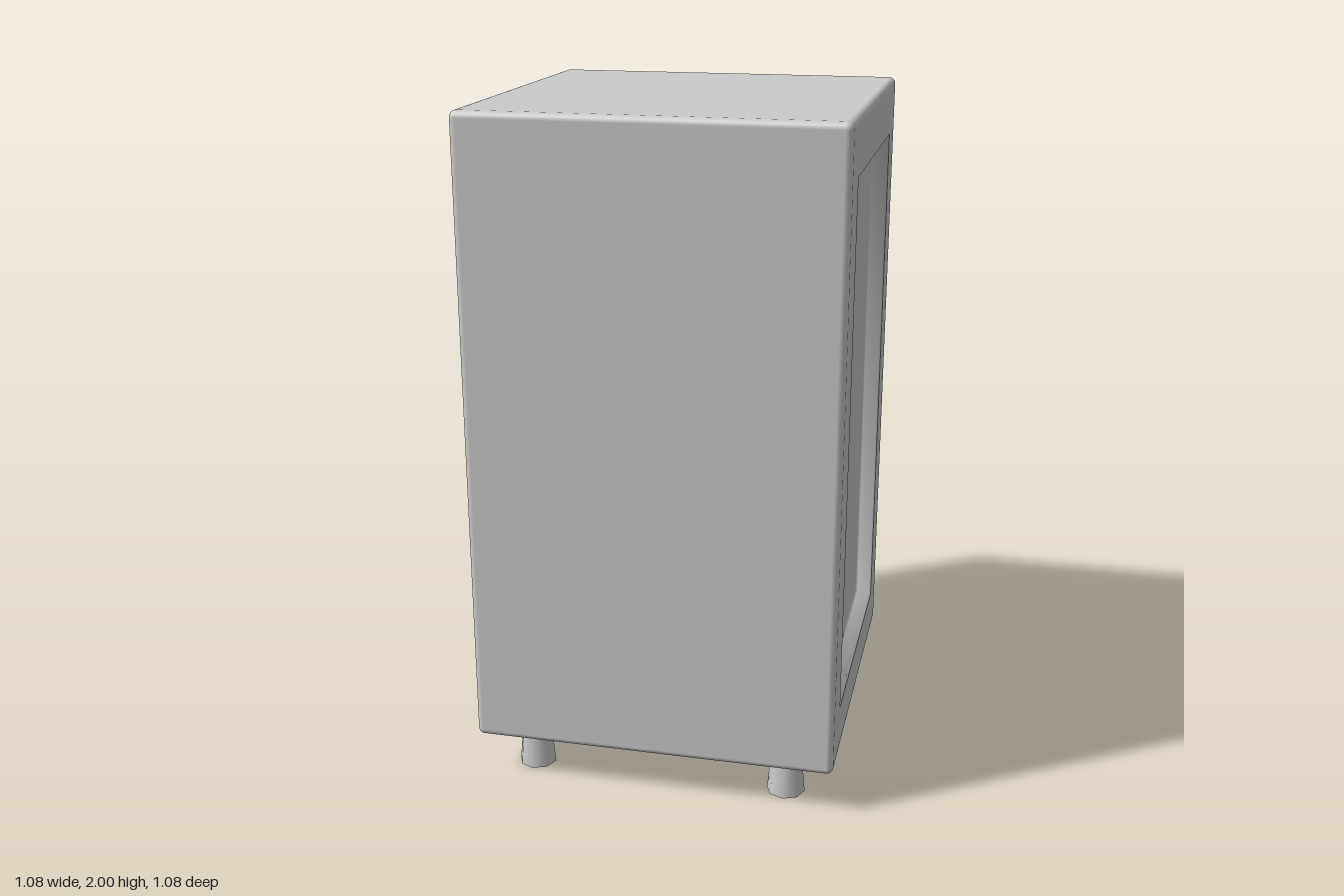
import * as THREE from 'three';
import { RoundedBoxGeometry } from 'three/addons/geometries/RoundedBoxGeometry.js';

const HALF = 0.54, BASE = 0.13, TOP = 2, R = 0.02;
const HEIGHT = TOP - BASE, MID = (TOP + BASE) / 2;
const RECESS_W = 0.4, RECESS_H = 0.78; // half sizes of the side recess
const OPENING = 0.385;                 // half size of the opening underneath

function rectPath(path, w, h, cy = 0) {
  path.moveTo(-w, cy - h);
  path.lineTo(w, cy - h);
  path.lineTo(w, cy + h);
  path.lineTo(-w, cy + h);
  path.closePath();
  return path;
}

// flat rectangle with a rectangular hole
function frameGeometry(w, h, holeW, holeH, holeY = 0) {
  const shape = rectPath(new THREE.Shape(), w, h);
  shape.holes.push(rectPath(new THREE.Path(), holeW, holeH, holeY));
  return new THREE.ShapeGeometry(shape);
}

// rounded box without its flat +x and -y faces
function shellGeometry() {
  const box = new RoundedBoxGeometry(HALF * 2, HEIGHT, HALF * 2, 4, R);
  const p = box.attributes.position, n = box.attributes.normal;
  const pos = [], nor = [];
  for (let i = 0; i < p.count; i += 3) {
    const tri = [i, i + 1, i + 2];
    if (tri.every(k => p.getX(k) > HALF - 1e-4)) continue;
    if (tri.every(k => p.getY(k) < -HEIGHT / 2 + 1e-4)) continue;
    for (const k of tri) {
      pos.push(p.getX(k), p.getY(k), p.getZ(k));
      nor.push(n.getX(k), n.getY(k), n.getZ(k));
    }
  }
  const g = new THREE.BufferGeometry();
  g.setAttribute('position', new THREE.Float32BufferAttribute(pos, 3));
  g.setAttribute('normal', new THREE.Float32BufferAttribute(nor, 3));
  return g;
}

// nested rectangles [inset, depth] joined into a tray facing +z
function trayGeometry(rings) {
  const pos = [], idx = [];
  for (const [inset, depth] of rings) {
    const w = RECESS_W - inset, h = RECESS_H - inset;
    pos.push(-w, -h, -depth, w, -h, -depth, w, h, -depth, -w, h, -depth);
  }
  for (let r = 0; r < rings.length - 1; r++) {
    for (let c = 0; c < 4; c++) {
      const a = r * 4 + c, b = r * 4 + (c + 1) % 4;
      idx.push(a, b, b + 4, a, b + 4, a + 4);
    }
  }
  const e = (rings.length - 1) * 4;
  idx.push(e, e + 1, e + 2, e, e + 2, e + 3);
  const g = new THREE.BufferGeometry();
  g.setAttribute('position', new THREE.Float32BufferAttribute(pos, 3));
  g.setIndex(idx);
  g.computeVertexNormals();
  return g;
}

export function createModel() {
  const model = new THREE.Group();
  model.name = 'cabinet';
  const grey = new THREE.MeshStandardMaterial({ color: 0xcccccc, side: THREE.DoubleSide });
  const add = (name, geometry, x, y, z) => {
    const mesh = new THREE.Mesh(geometry, grey);
    mesh.name = name;
    mesh.position.set(x, y, z);
    model.add(mesh);
    return mesh;
  };

  // hollow body
  add('bodyShell', shellGeometry(), 0, MID, 0);

  // left side: frame around a sunken panel
  const recessY = 1.06 - MID;
  const side = frameGeometry(HALF - R, HEIGHT / 2 - R, RECESS_W, RECESS_H, recessY);
  add('sideFrame', side, HALF, MID, 0).rotation.y = Math.PI / 2;
  const tray = trayGeometry([[0, 0], [0.003, 0.006], [0.012, 0.044], [0.018, 0.05], [0.03, 0.05]]);
  add('sidePanel', tray, HALF, 1.06, 0).rotation.y = Math.PI / 2;

  // underside rim around the opening
  const rim = frameGeometry(HALF - R, HALF - R, OPENING, OPENING);
  add('bottomRim', rim, 0, BASE, 0).rotation.x = Math.PI / 2;

  // tapered, open feet
  const foot = new THREE.CylinderGeometry(0.045, 0.057, BASE, 8, 1, true);
  for (const sx of [-1, 1]) {
    for (const sz of [-1, 1]) {
      const name = (sz > 0 ? 'front' : 'back') + (sx > 0 ? 'Left' : 'Right') + 'Foot';
      add(name, foot, sx * 0.388, BASE / 2, sz * 0.423);
    }
  }
  return model;
}
